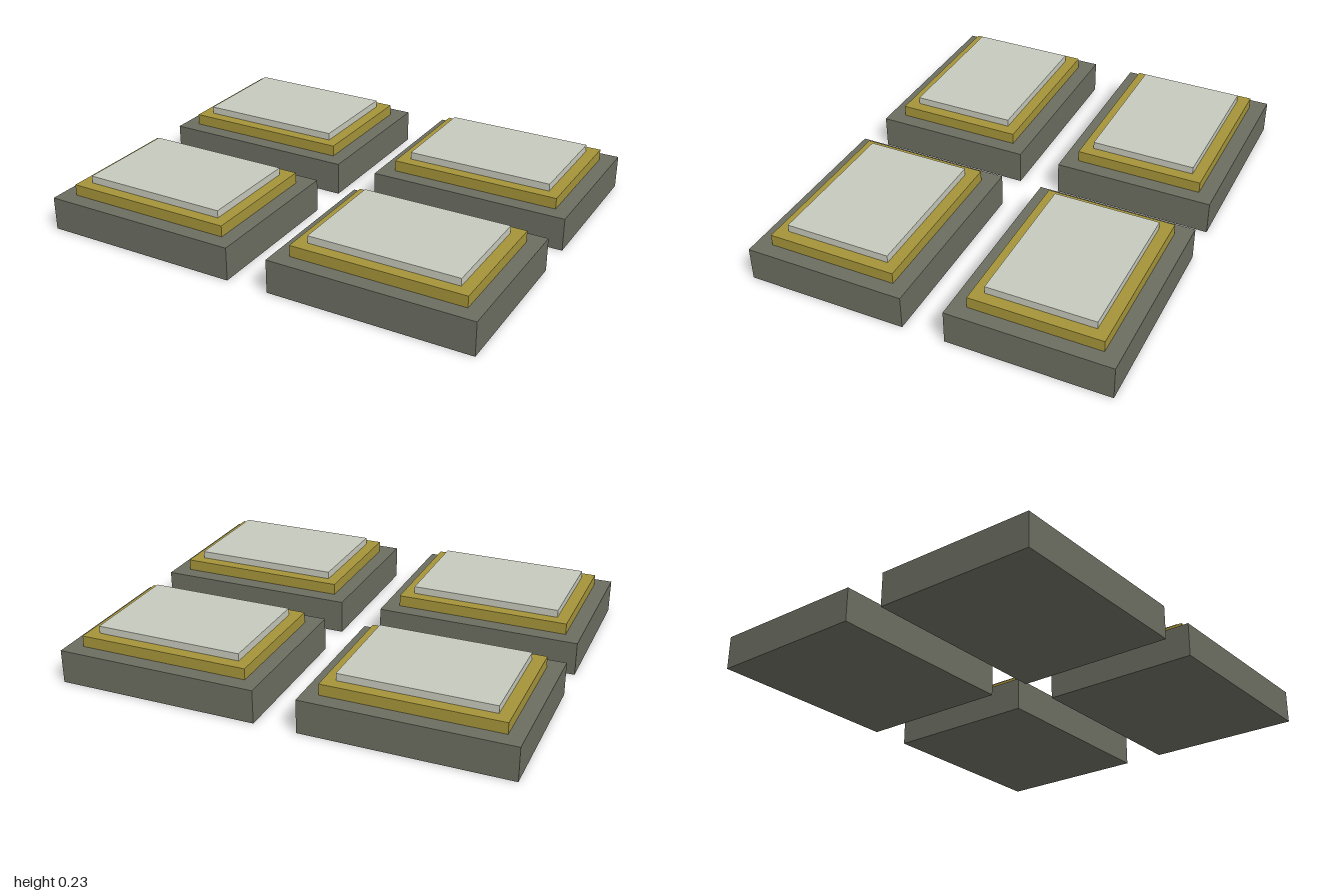
import * as THREE from 'three';

// Tiers of one stepped block: name, width, height, depth, base height, colour
const TIERS = [
  ['plinth', 0.905, 0.15, 0.715, 0, 0x6b6d60],
  ['goldTrim', 0.77, 0.05, 0.575, 0.15, 0xa59439],
  ['topPanel', 0.665, 0.033, 0.472, 0.2, 0xc6c9bc],
];

export function createModel() {
  const model = new THREE.Group();
  model.name = 'steppedBlocks';

  const tiers = TIERS.map(([name, w, h, d, y, color]) => ({
    name,
    y: y + h / 2,
    geometry: new THREE.BoxGeometry(w, h, d),
    material: new THREE.MeshStandardMaterial({ color }),
  }));

  // Four identical blocks in a two by two layout
  for (const [row, sz] of [['front', 1], ['back', -1]]) {
    for (const [side, sx] of [['Left', 1], ['Right', -1]]) {
      const block = new THREE.Group();
      block.name = `${row}${side}Block`;
      block.position.set(sx * 0.5475, 0, sz * 0.4525);
      for (const t of tiers) {
        const mesh = new THREE.Mesh(t.geometry, t.material);
        mesh.name = t.name;
        mesh.position.y = t.y;
        block.add(mesh);
      }
      model.add(block);
    }
  }
  return model;
}
